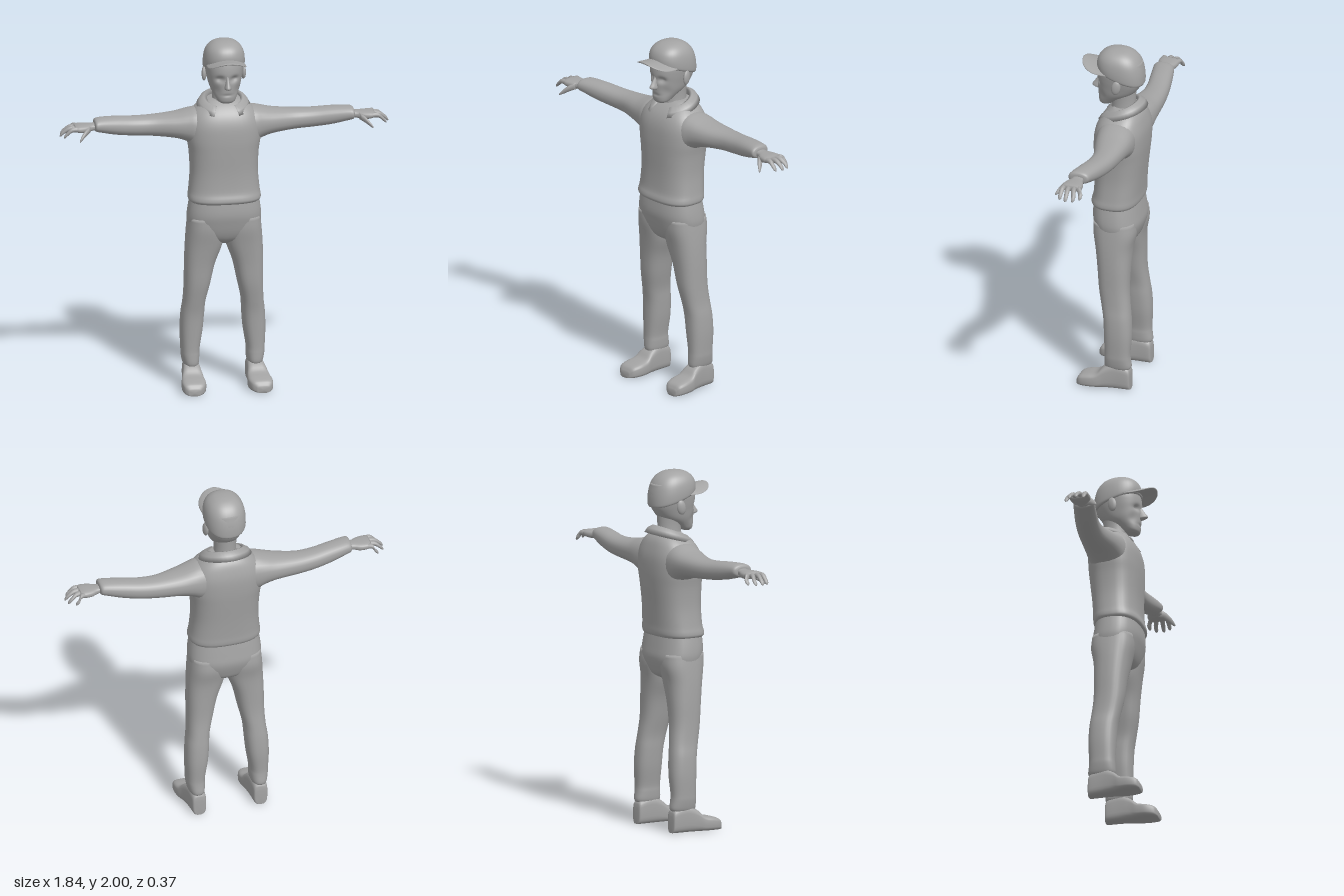
import * as THREE from 'three';

// Closed skin over a list of rings; both ends are capped with a centre point.
function skin(rings) {
  const n = rings[0].length, pos = rings.flat().flatMap(p => p.toArray()), idx = [];
  for (let i = 0; i < rings.length - 1; i++) {
    for (let j = 0; j < n; j++) {
      const a = i * n + j, b = i * n + (j + 1) % n;
      idx.push(a, a + n, b, b, a + n, b + n);
    }
  }
  [0, rings.length - 1].forEach((r, end) => {
    const c = new THREE.Vector3(), ci = pos.length / 3;
    rings[r].forEach(p => c.addScaledVector(p, 1 / n));
    pos.push(...c.toArray());
    for (let j = 0; j < n; j++) {
      const a = r * n + j, b = r * n + (j + 1) % n;
      idx.push(ci, end ? b : a, end ? a : b);
    }
  });
  const g = new THREE.BufferGeometry();
  g.setAttribute('position', new THREE.Float32BufferAttribute(pos, 3));
  g.setIndex(idx);
  g.computeVertexNormals();
  return g;
}

// How (along, a, b) maps to x, y, z for each loft axis.
const AXES = {
  x: (t, a, b) => new THREE.Vector3(t, b, a), // a = z, b = y
  y: (t, a, b) => new THREE.Vector3(a, t, b), // a = x, b = z
  z: (t, a, b) => new THREE.Vector3(b, a, t), // a = y, b = x
};

// Smooth loft through superellipse rows [along, a0, a1, b0, b1], shaped by an optional rule.
function loft(axis, rows, { power = 2.3, sides = 28, steps = 4, rule } = {}) {
  const spline = new THREE.CubicInterpolant(rows.map((_, i) => i), rows.flat(), 5, new Float32Array(5));
  const round = v => Math.sign(v) * Math.abs(v) ** (2 / power);
  const rings = [];
  for (let s = 0; s <= (rows.length - 1) * steps; s++) {
    const [t, a0, a1, b0, b1] = Array.from(spline.evaluate(s / steps));
    rings.push(Array.from({ length: sides }, (_, j) => {
      const q = j / sides * Math.PI * 2;
      const p = AXES[axis](t, (a0 + a1) / 2 + (a1 - a0) / 2 * round(Math.cos(q)),
        (b0 + b1) / 2 + (b1 - b0) / 2 * round(Math.sin(q)));
      if (rule) rule(p);
      return p;
    }));
  }
  return skin(rings);
}

// Rows symmetric in x: [y, halfWidth, zBack, zFront]
const sym = rows => rows.map(([y, w, z0, z1]) => [y, -w, w, z0, z1]);

// Tapered finger through points [x, y, z, radius]
const finger = pts => loft('x', pts.map(([x, y, z, r]) => [x, z - r, z + r, y - r, y + r]), { sides: 10, power: 2, steps: 3 });

function mirror(g) {
  const m = g.clone().scale(-1, 1, 1);
  m.setIndex(Array.from(g.index.array).reverse());
  return m;
}

export function createModel() {
  const clay = new THREE.MeshStandardMaterial({ color: 0xa3a3a3 });
  clay.name = 'clay grey';
  const model = new THREE.Group();
  model.name = 'manInCap';
  const add = (name, g) => {
    const m = new THREE.Mesh(g, clay);
    m.name = name;
    model.add(m);
  };
  const pair = (name, g) => {
    add(name + 'Left', g);
    add(name + 'Right', mirror(g));
  };

  // Jacket body with a slightly overhanging hem
  add('jacket', loft('y', sym([
    [1.075, 0.185, -0.138, 0.1], [1.09, 0.2, -0.15, 0.116], [1.11, 0.202, -0.154, 0.116], [1.15, 0.196, -0.155, 0.106],
    [1.25, 0.188, -0.163, 0.102], [1.36, 0.193, -0.175, 0.105], [1.44, 0.205, -0.182, 0.106],
    [1.52, 0.205, -0.182, 0.1], [1.58, 0.182, -0.17, 0.08], [1.625, 0.14, -0.152, 0.045], [1.66, 0.085, -0.12, 0.0],
  ]), { power: 2.6, sides: 40 }));

  // Sleeves with cuffs
  pair('sleeve', loft('x', [
    [0.08, -0.155, 0.06, 1.39, 1.61], [0.16, -0.16, 0.06, 1.395, 1.608], [0.21, -0.16, 0.048, 1.42, 1.597],
    [0.28, -0.156, 0.03, 1.44, 1.58], [0.4, -0.146, -0.002, 1.452, 1.567], [0.5, -0.133, -0.002, 1.46, 1.567],
    [0.6, -0.115, 0.012, 1.474, 1.575], [0.69, -0.095, 0.026, 1.496, 1.578], [0.72, -0.085, 0.028, 1.505, 1.572],
    [0.728, -0.065, 0.01, 1.515, 1.558],
  ]));

  // Collar folded around the neck and open at the front
  const collar = [];
  for (let i = 0; i <= 32; i++) {
    const q = 0.5 + i / 32 * (Math.PI * 2 - 1), s = Math.sin(q), c = Math.cos(q);
    const at = (rx, rz, y, k) => new THREE.Vector3(rx * s, y - k * c, rz * c - 0.04);
    collar.push([at(0.15, 0.137, 1.618, 0.04), at(0.135, 0.12, 1.643, 0.04), at(0.108, 0.09, 1.664, 0.034),
      at(0.092, 0.078, 1.658, 0.034), at(0.1, 0.09, 1.6, 0.04)]);
  }
  add('collar', skin(collar));

  // Trousers: hips and legs
  add('hips', loft('y', sym([
    [0.835, 0.04, -0.08, 0.02], [0.86, 0.12, -0.125, 0.06], [0.9, 0.185, -0.145, 0.083], [0.96, 0.205, -0.16, 0.1],
    [1.02, 0.204, -0.154, 0.11], [1.11, 0.19, -0.14, 0.104],
  ]), { power: 2.5, sides: 36 }));
  pair('trouserLeg', loft('y', [
    [0.115, 0.148, 0.212, -0.135, -0.01], [0.135, 0.136, 0.223, -0.15, 0.003], [0.18, 0.132, 0.232, -0.145, 0.003],
    [0.22, 0.131, 0.234, -0.143, 0.002], [0.32, 0.115, 0.238, -0.149, 0.006], [0.42, 0.106, 0.234, -0.145, 0.012],
    [0.5, 0.1, 0.224, -0.136, 0.026], [0.6, 0.077, 0.22, -0.126, 0.044], [0.72, 0.05, 0.219, -0.127, 0.056],
    [0.83, 0.01, 0.215, -0.133, 0.072], [0.92, 0, 0.208, -0.15, 0.088], [0.99, 0.01, 0.2, -0.145, 0.09],
  ], { power: 2.5 }));

  // Shoes
  pair('shoe', loft('z', [
    [-0.148, 0, 0.09, 0.15, 0.205], [-0.135, 0, 0.13, 0.137, 0.217], [-0.06, 0, 0.15, 0.132, 0.225],
    [0, 0, 0.125, 0.127, 0.236], [0.04, 0, 0.09, 0.12, 0.248], [0.09, 0, 0.078, 0.118, 0.254],
    [0.135, 0, 0.064, 0.133, 0.247], [0.155, 0, 0.036, 0.16, 0.225],
  ], { power: 3.6 }));

  // Hands: palm, fingers and thumb
  pair('palm', loft('x', [
    [0.7, -0.062, 0.004, 1.515, 1.556], [0.74, -0.064, 0.006, 1.51, 1.55], [0.775, -0.077, 0.026, 1.503, 1.55],
    [0.815, -0.082, 0.034, 1.506, 1.55], [0.84, -0.075, 0.028, 1.515, 1.546],
  ], { power: 2.6 }));
  [[-0.064, -0.088, 0.875], [-0.04, -0.06, 0.912], [-0.011, -0.02, 0.92], [0.017, 0.018, 0.903]].forEach(([z0, z1, tip], i) =>
    pair('finger' + (i + 1), finger([
      [0.81, 1.528, z0, 0.015], [0.5 * (0.81 + tip), 1.529, (z0 + z1) / 2, 0.014],
      [tip - 0.02, 1.508, z1, 0.012], [tip - 0.006, 1.495, z1, 0.01], [tip, 1.488, z1, 0.004],
    ])));
  pair('thumb', finger([
    [0.755, 1.525, 0.0, 0.02], [0.785, 1.508, 0.03, 0.018], [0.808, 1.488, 0.052, 0.013], [0.822, 1.474, 0.066, 0.006],
  ]));

  // Neck and head, with eye sockets, hollow cheeks and a mouth crease
  add('neck', loft('y', sym([
    [1.57, 0.075, -0.11, 0.045], [1.64, 0.064, -0.112, 0.025], [1.7, 0.062, -0.112, 0.025], [1.77, 0.068, -0.115, 0.03],
  ]), { power: 2 }));
  const dent = (p, x, y, rx, ry) => Math.exp(-(((Math.abs(p.x) - x) / rx) ** 2) - ((p.y - y) / ry) ** 2);
  add('head', loft('y', sym([
    [1.658, 0.03, 0.04, 0.082], [1.67, 0.048, 0.01, 0.093], [1.695, 0.062, -0.03, 0.098], [1.735, 0.082, -0.1, 0.1],
    [1.78, 0.094, -0.138, 0.102], [1.825, 0.104, -0.155, 0.104], [1.87, 0.109, -0.16, 0.1], [1.93, 0.1, -0.148, 0.086],
  ]), {
    sides: 72, steps: 6, power: 2.2, rule: p => {
      if (p.z > 0.01) p.z -= 0.02 * dent(p, 0.04, 1.8, 0.022, 0.016) + 0.01 * dent(p, 0.06, 1.73, 0.02, 0.03)
        + 0.006 * dent(p, 0, 1.707, 0.03, 0.007);
    },
  }));
  add('nose', loft('y', sym([
    [1.738, 0.01, 0.07, 0.104], [1.747, 0.018, 0.07, 0.132], [1.757, 0.018, 0.07, 0.14], [1.778, 0.013, 0.07, 0.126],
    [1.805, 0.01, 0.06, 0.109], [1.825, 0.009, 0.06, 0.101],
  ]), { power: 2, sides: 16 }));
  pair('ear', new THREE.SphereGeometry(1, 16, 12).scale(0.014, 0.042, 0.026).rotateX(-0.15).rotateY(0.25).translate(0.109, 1.805, -0.035));

  // Cap: crown with its lower edge rising to the front, and an arched brim
  add('capCrown', loft('y', sym([
    [1.85, 0.108, -0.158, 0.098], [1.862, 0.114, -0.163, 0.104], [1.9, 0.114, -0.161, 0.104], [1.94, 0.106, -0.148, 0.094],
    [1.97, 0.088, -0.122, 0.074], [1.99, 0.06, -0.085, 0.046], [1.998, 0.03, -0.05, 0.015], [2, 0.006, -0.024, -0.01],
  ]), { sides: 40, rule: p => { p.y += 2.4 * p.z * Math.max(0, 2 - p.y) * 0.9; } }));
  add('capBrim', loft('z', [
    [0.02, 1.892, 1.912, -0.108, 0.108], [0.08, 1.893, 1.912, -0.108, 0.108], [0.125, 1.898, 1.914, -0.1, 0.1],
    [0.16, 1.903, 1.917, -0.08, 0.08], [0.182, 1.907, 1.919, -0.05, 0.05], [0.19, 1.91, 1.918, -0.015, 0.015],
  ], { power: 2.2, rule: p => { p.y -= 3 * p.x * p.x; } }));

  return model;
}
